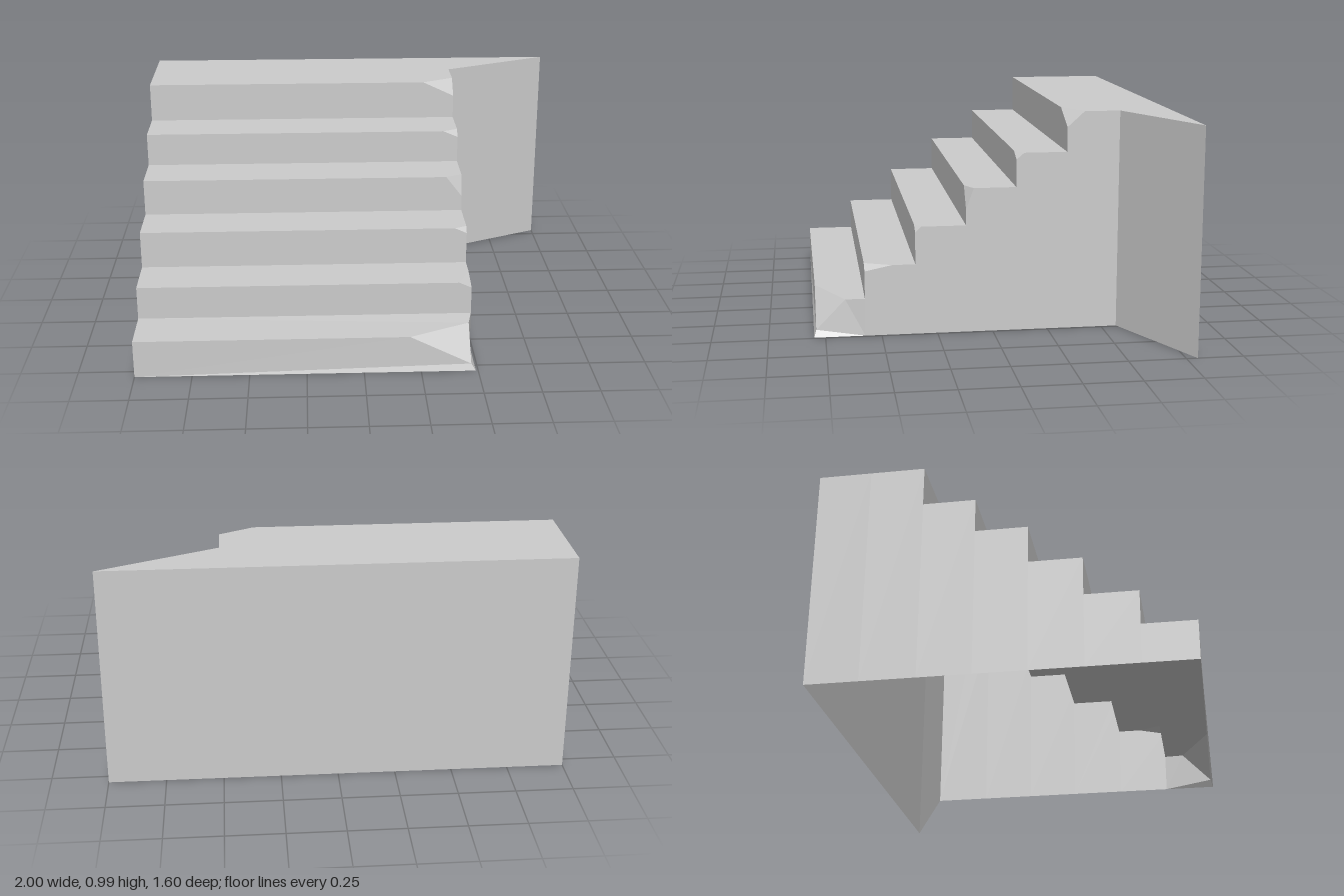
import * as THREE from 'three';

const LEFT = -1, SIDE = 0.49, WING = -0.57, BACK = -0.8;

// Flat-shaded mesh from convex polygons, corners counter-clockwise from outside
function polyMesh(name, polygons) {
  const pos = [];
  for (const p of polygons)
    for (let i = 1; i < p.length - 1; i++) pos.push(...p[0], ...p[i], ...p[i + 1]);
  const geo = new THREE.BufferGeometry();
  geo.setAttribute('position', new THREE.Float32BufferAttribute(pos, 3));
  geo.computeVertexNormals();
  const mat = new THREE.MeshStandardMaterial({
    color: 0xcccccc, flatShading: true, side: THREE.DoubleSide,
  });
  const mesh = new THREE.Mesh(geo, mat);
  mesh.name = name;
  return mesh;
}

// Each step: riser z, tread height, and where its broken corner meets
// the front edge (cx), the riser's side edge (cy) and the tread's side edge (cz)
const steps = [
  { z: 0.8, h: 0.17 },
  { z: 0.573, h: 0.32, cx: 0.435, cy: 0.295, cz: 0.45 },
  { z: 0.347, h: 0.49, cx: 0.435, cy: 0.465, cz: 0.32 },
  { z: 0.12, h: 0.657, cx: 0.415, cy: 0.56, cz: 0.085 },
  { z: -0.105, h: 0.81, cx: 0.42, cy: 0.78, cz: -0.14 },
  { z: -0.333, h: 0.99, cx: 0.34, cy: 0.92, cz: -0.41 },
];

function createStep(i) {
  const { z, h, cx, cy, cz } = steps[i];
  const low = i ? steps[i - 1].h : 0;
  const zb = i < steps.length - 1 ? steps[i + 1].z : WING;

  // Corner points of the break: on the front edge, the riser and the tread
  const first = i === 0;
  const a = first ? [0.2, 0.165, 0.79] : [cx, h, z];
  const b = first ? [0.47, 0.03, 0.79] : [SIDE, cy, z];
  const c = first ? [0.47, 0.165, 0.66] : [SIDE, h, cz];

  return polyMesh('step' + (i + 1), [
    [[LEFT, low, z], [SIDE, low, z], b, a, [LEFT, h, z]],                 // riser
    [[LEFT, h, zb], [LEFT, h, z], a, c, [SIDE, h, zb]],                   // tread
    [a, b, c],                                                            // broken corner
    [[SIDE, 0, zb], [SIDE, h, zb], c, b, [SIDE, 0, z]],                   // right side
    [[LEFT, 0, zb], [LEFT, 0, z], [LEFT, h, z], [LEFT, h, zb]],           // left side
  ]);
}

export function createModel() {
  const group = new THREE.Group();
  group.name = 'stairs';
  steps.forEach((_, i) => group.add(createStep(i)));

  // Landing behind the top step, flaring into a pointed wing; open underneath
  const H = steps[steps.length - 1].h;
  group.add(polyMesh('landing', [
    [[LEFT, H, BACK], [LEFT, H, WING], [SIDE, H, WING], [1, H, BACK]],
    [[LEFT, 0, BACK], [LEFT, 0, WING], [LEFT, H, WING], [LEFT, H, BACK]],
  ]));
  group.add(polyMesh('wingWall', [
    [[SIDE, 0, WING], [1, 0, BACK], [1, H, BACK], [SIDE, H, WING]],
  ]));
  group.add(polyMesh('backWall', [
    [[1, 0, BACK], [LEFT, 0, BACK], [LEFT, H, BACK], [1, H, BACK]],
  ]));
  return group;
}
